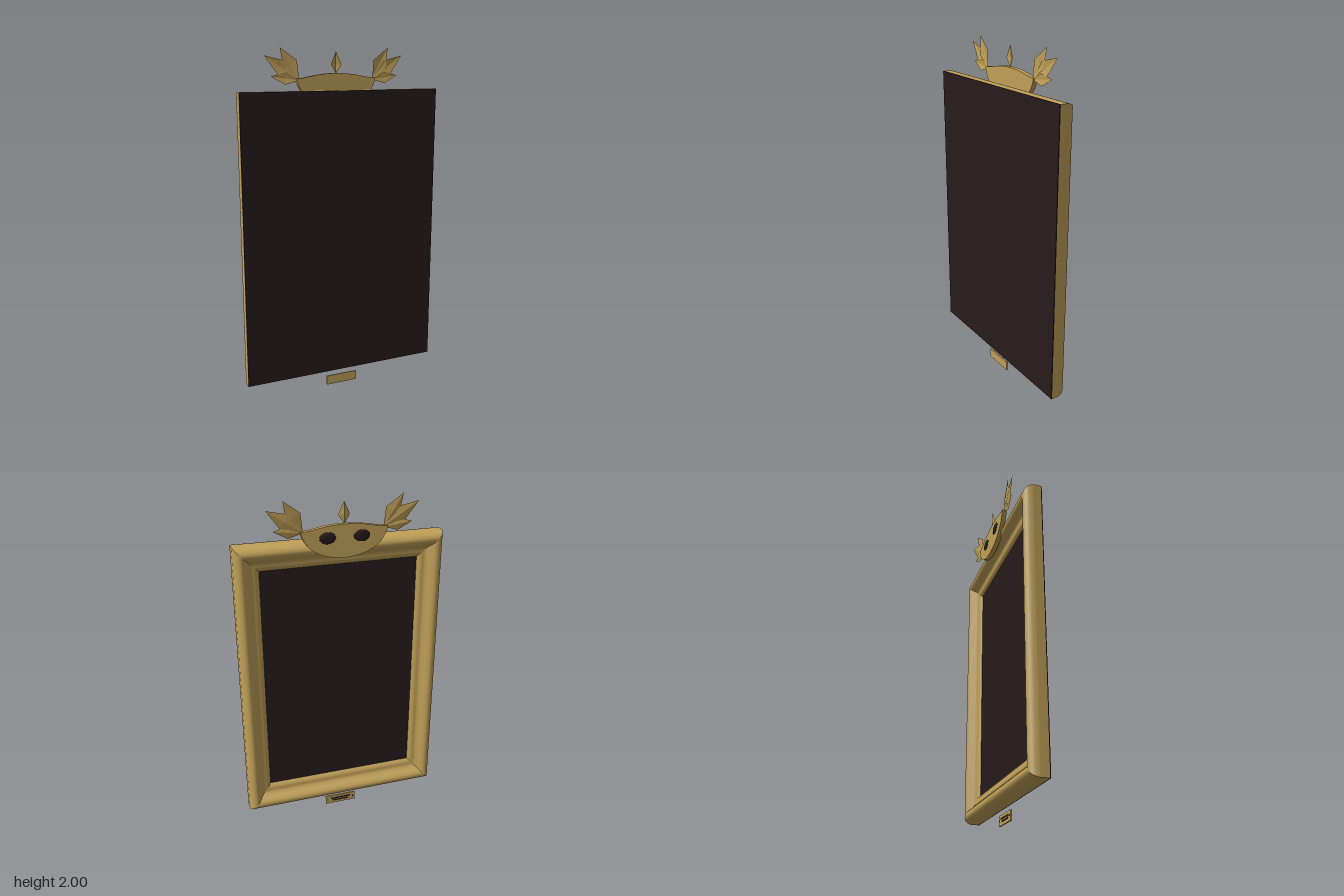
import * as THREE from 'three';

const W = 0.597, Y0 = 0.099, Y1 = 1.766;

export function createModel() {
  const gold = new THREE.MeshStandardMaterial({ color: 0xc0a058 });
  gold.name = 'antique gold';
  const goldLeaf = new THREE.MeshStandardMaterial({ color: 0xc0a058, side: THREE.DoubleSide, flatShading: true });
  goldLeaf.name = 'gold leaf';
  const dark = new THREE.MeshStandardMaterial({ color: 0x271b1b });
  dark.name = 'dark brown';

  const model = new THREE.Group();
  model.name = 'pictureFrame';
  const add = (name, geo, mat, x = 0, y = 0, z = 0, parent = model) => {
    const m = new THREE.Mesh(geo, mat);
    m.name = name;
    m.position.set(x, y, z);
    parent.add(m);
    return m;
  };

  // Moulding section: [distance inward from outer edge, z]
  const section = new THREE.SplineCurve([
    [0, 0.01], [0.007, -0.014], [0.019, -0.031], [0.036, -0.04], [0.053, -0.037],
    [0.068, -0.024], [0.082, -0.006], [0.096, 0.006], [0.108, 0.009],
    [0.12, 0.011], [0.132, 0.018], [0.143, 0.03],
  ].map(p => new THREE.Vector2(...p))).getPoints(36);
  section.unshift(new THREE.Vector2(0, 0.056));

  // Four mitred rails, each swept between two corners; top and bottom are a little wider
  const corners = [[-1, 0], [1, 0], [1, 1], [-1, 1]];
  const at = ([sx, top], p) => [sx * (W - p.x), top ? Y1 - p.x * 1.05 : Y0 + p.x * 1.05, p.y];
  const frame = new THREE.Group();
  frame.name = 'frame';
  model.add(frame);
  ['bottomRail', 'leftRail', 'topRail', 'rightRail'].forEach((name, i) => {
    const a = corners[i], b = corners[(i + 1) % 4], pos = [], idx = [];
    section.forEach((p, k) => {
      pos.push(...at(a, p), ...at(b, p));
      if (k) {
        const n = 2 * k;
        idx.push(n - 2, n, n - 1, n - 1, n, n + 1);
      }
    });
    const g = new THREE.BufferGeometry();
    g.setAttribute('position', new THREE.Float32BufferAttribute(pos, 3));
    g.setIndex(idx);
    g.computeVertexNormals();
    add(name, g, gold, 0, 0, 0, frame);
  });

  // Backing board and the dark canvas inside the frame
  const midY = (Y0 + Y1) / 2;
  add('backing', new THREE.BoxGeometry(2 * W, Y1 - Y0, 0.005), dark, 0, midY, 0.0585);
  add('canvas', new THREE.BoxGeometry(0.92, 1.38, 0.006), dark, 0, midY, 0.031);

  // Crest plate with wavy top and bowl-shaped bottom
  const s = new THREE.Shape();
  s.moveTo(-0.242, 1.831);
  s.bezierCurveTo(-0.225, 1.73, -0.12, 1.677, 0, 1.677);
  s.bezierCurveTo(0.12, 1.677, 0.225, 1.73, 0.242, 1.831);
  s.bezierCurveTo(0.17, 1.834, 0.12, 1.859, 0, 1.859);
  s.bezierCurveTo(-0.12, 1.859, -0.17, 1.834, -0.242, 1.831);
  add('crest', new THREE.ExtrudeGeometry(s, { depth: 0.028, bevelEnabled: false, curveSegments: 14 }),
    gold, 0, 0, -0.057);

  // Dark oval bosses on the crest
  for (const side of [-1, 1]) {
    const g = new THREE.SphereGeometry(1, 24, 12);
    g.scale(0.046, 0.032, 0.006);
    add(side > 0 ? 'leftBoss' : 'rightBoss', g, dark, side * 0.096, 1.79, -0.057);
  }

  // Folded kite-shaped leaf from base to tip with a raised ridge
  const leaf = (base, tip, half, along, fold) => {
    const a = new THREE.Vector3(...base), b = new THREE.Vector3(...tip);
    const d = b.clone().sub(a);
    const n = new THREE.Vector3(-d.y, d.x, 0).normalize().multiplyScalar(half);
    const mid = a.clone().lerp(b, along);
    const l = mid.clone().add(n), r = mid.clone().sub(n);
    l.z += fold / 2;
    r.z += fold / 2;
    mid.z -= fold / 2;
    const g = new THREE.BufferGeometry().setFromPoints([a, l, mid, a, mid, r, l, b, mid, mid, b, r]);
    g.computeVertexNormals();
    return g;
  };
  const sprayLeaves = [
    ['upperLeaf', [0.225, 1.825, -0.037], [0.33, 1.999, -0.049], 0.045, 0.47],
    ['middleLeaf', [0.225, 1.825, -0.038], [0.42, 1.955, -0.051], 0.044, 0.5],
    ['lowerLeaf', [0.225, 1.822, -0.036], [0.387, 1.844, -0.045], 0.034, 0.47],
  ];
  for (const k of [-1, 1]) {
    const spray = new THREE.Group();
    spray.name = k > 0 ? 'leftLeaves' : 'rightLeaves';
    model.add(spray);
    for (const [name, [bx, by, bz], [tx, ty, tz], half, along] of sprayLeaves) {
      add(name, leaf([k * bx, by, bz], [k * tx, ty, tz], half, along, 0.007), goldLeaf, 0, 0, 0, spray);
    }
  }
  add('finial', leaf([0, 1.855, -0.044], [0, 1.978, -0.044], 0.032, 0.42, 0.011), goldLeaf);

  // Small name plate hanging below, with dark engraved bars
  const plate = new THREE.Group();
  plate.name = 'plaque';
  model.add(plate);
  add('plaquePlate', new THREE.BoxGeometry(0.194, 0.056, 0.008), gold, 0, 0.028, 0.035, plate);
  for (const [y, w] of [[0.036, 0.13], [0.021, 0.11]]) {
    add('plaqueBar', new THREE.BoxGeometry(w, 0.009, 0.002), dark, 0, y, 0.0303, plate);
  }
  for (const x of [-0.084, 0.084]) {
    const g = new THREE.SphereGeometry(0.005, 10, 6);
    g.scale(1, 1, 0.6);
    add('plaquePin', g, dark, x, 0.028, 0.031, plate);
  }
  return model;
}
